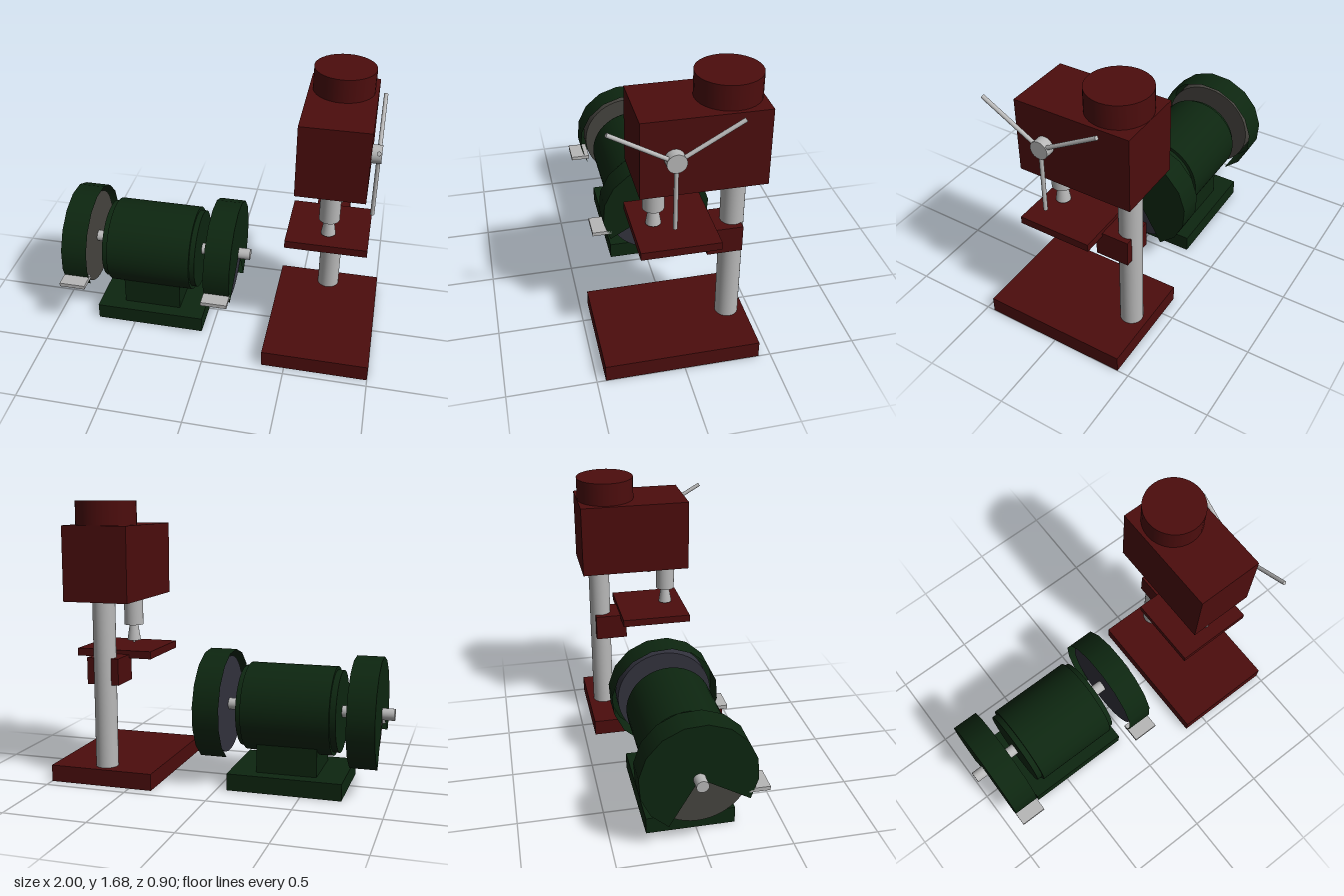
import * as THREE from 'three';

const material = (name, color, side = THREE.FrontSide) => {
  const m = new THREE.MeshStandardMaterial({ color, side });
  m.name = name;
  return m;
};

export function createModel() {
  const green = material('dark green paint', 0x0d2610, THREE.DoubleSide);
  const red = material('dark red paint', 0x4c0d0d);
  const metal = material('bare metal', 0xb8b8b8);
  const coarse = material('coarse stone', 0x46443f);
  const fine = material('fine stone', 0x32323d);

  const root = new THREE.Group();
  root.name = 'workshopMachines';
  const grinder = new THREE.Group();
  grinder.name = 'benchGrinder';
  const drill = new THREE.Group();
  drill.name = 'drillPress';
  root.add(grinder, drill);

  const add = (parent, name, geometry, mat, x, y, z) => {
    const mesh = new THREE.Mesh(geometry, mat);
    mesh.name = name;
    mesh.position.set(x, y, z);
    parent.add(mesh);
    return mesh;
  };
  // Box given by its minimum and maximum on each axis
  const box = (parent, name, mat, [x0, x1], [y0, y1], [z0, z1]) =>
    add(parent, name, new THREE.BoxGeometry(x1 - x0, y1 - y0, z1 - z0), mat,
      (x0 + x1) / 2, (y0 + y1) / 2, (z0 + z1) / 2);
  // Upright cylinder between two heights
  const post = (parent, name, mat, x, z, y0, y1, rTop, rBottom = rTop) =>
    add(parent, name, new THREE.CylinderGeometry(rTop, rBottom, y1 - y0, 32), mat, x, (y0 + y1) / 2, z);
  // Cylinder lying along x
  const axle = (parent, name, mat, x0, x1, y, z, r, segments = 32) => {
    const mesh = add(parent, name, new THREE.CylinderGeometry(r, r, x1 - x0, segments), mat, (x0 + x1) / 2, y, z);
    mesh.rotation.z = Math.PI / 2;
    return mesh;
  };

  // Bench grinder: foot, motor and shaft
  const cx = -0.4, cy = 0.46, cz = -0.03;
  box(grinder, 'grinderBase', green, [-0.74, -0.06], [0, 0.1], [-0.29, 0.23]);
  box(grinder, 'pedestal', green, [-0.58, -0.22], [0.1, 0.28], [-0.21, 0.15]);
  axle(grinder, 'motorBody', green, -0.66, -0.14, cy, cz, 0.263, 48);
  axle(grinder, 'motorEndCaps', green, -0.695, -0.108, cy, cz, 0.243, 48);
  axle(grinder, 'shaft', metal, -1, 0.2, cy, cz, 0.035, 24);

  // Wheels, each in a three-quarter guard that is open towards the motor
  const start = -Math.PI / 6, sweep = Math.PI * 1.5, guardR = 0.333;
  for (const side of [-1, 1]) {
    const x = cx + side * 0.447;
    axle(grinder, 'grindingWheel', side < 0 ? coarse : fine, x - 0.05, x + 0.05, cy, cz, 0.292, 48);

    const rim = add(grinder, 'guardRim',
      new THREE.CylinderGeometry(guardR, guardR, 0.16, 12, 1, true, start, sweep), green, x, cy, cz);
    rim.rotation.z = Math.PI / 2;
    const plate = add(grinder, 'guardPlate',
      new THREE.CircleGeometry(guardR, 12, start, sweep), green, x + side * 0.08, cy, cz);
    plate.rotation.y = -Math.PI / 2;

    box(grinder, 'toolRest', metal, [x - 0.08, x + 0.08], [0.332, 0.356], [0.25, 0.37]);
  }

  // Drill press: base, column and head
  const dx = 0.68, columnZ = -0.328, spindleZ = 0.115;
  box(drill, 'drillBase', red, [0.36, 1], [0, 0.1], [-0.43, 0.45]);
  post(drill, 'column', metal, dx, columnZ, 0.1, 1.1, 0.067);
  box(drill, 'head', red, [0.48, 0.88], [1.1, 1.54], [-0.45, 0.23]);
  post(drill, 'motorCover', red, dx, -0.27, 1.54, 1.68, 0.179);

  // Work table and its column clamp
  box(drill, 'table', red, [0.44, 0.917], [0.74, 0.786], [-0.207, 0.233]);
  box(drill, 'tableClamp', red, [0.58, 0.778], [0.603, 0.762], [-0.367, -0.167]);

  // Spindle
  post(drill, 'quill', metal, dx, spindleZ, 0.9, 1.1, 0.06);
  post(drill, 'chuck', metal, dx, spindleZ, 0.8, 0.9, 0.027, 0.043);
  post(drill, 'drillBit', metal, dx, spindleZ, 0.7, 0.8, 0.009);

  // Feed handle with three spokes
  const hubY = 1.322, hubZ = 0.053, spoke = 0.4;
  axle(drill, 'feedHub', metal, 0.88, 0.936, hubY, hubZ, 0.053);
  for (let i = 0; i < 3; i++) {
    const a = Math.PI + (i * Math.PI * 2) / 3;
    const bar = add(drill, 'feedSpoke', new THREE.CylinderGeometry(0.012, 0.012, spoke, 16), metal,
      0.919, hubY + Math.cos(a) * spoke / 2, hubZ + Math.sin(a) * spoke / 2);
    bar.rotation.x = a;
  }

  return root;
}
